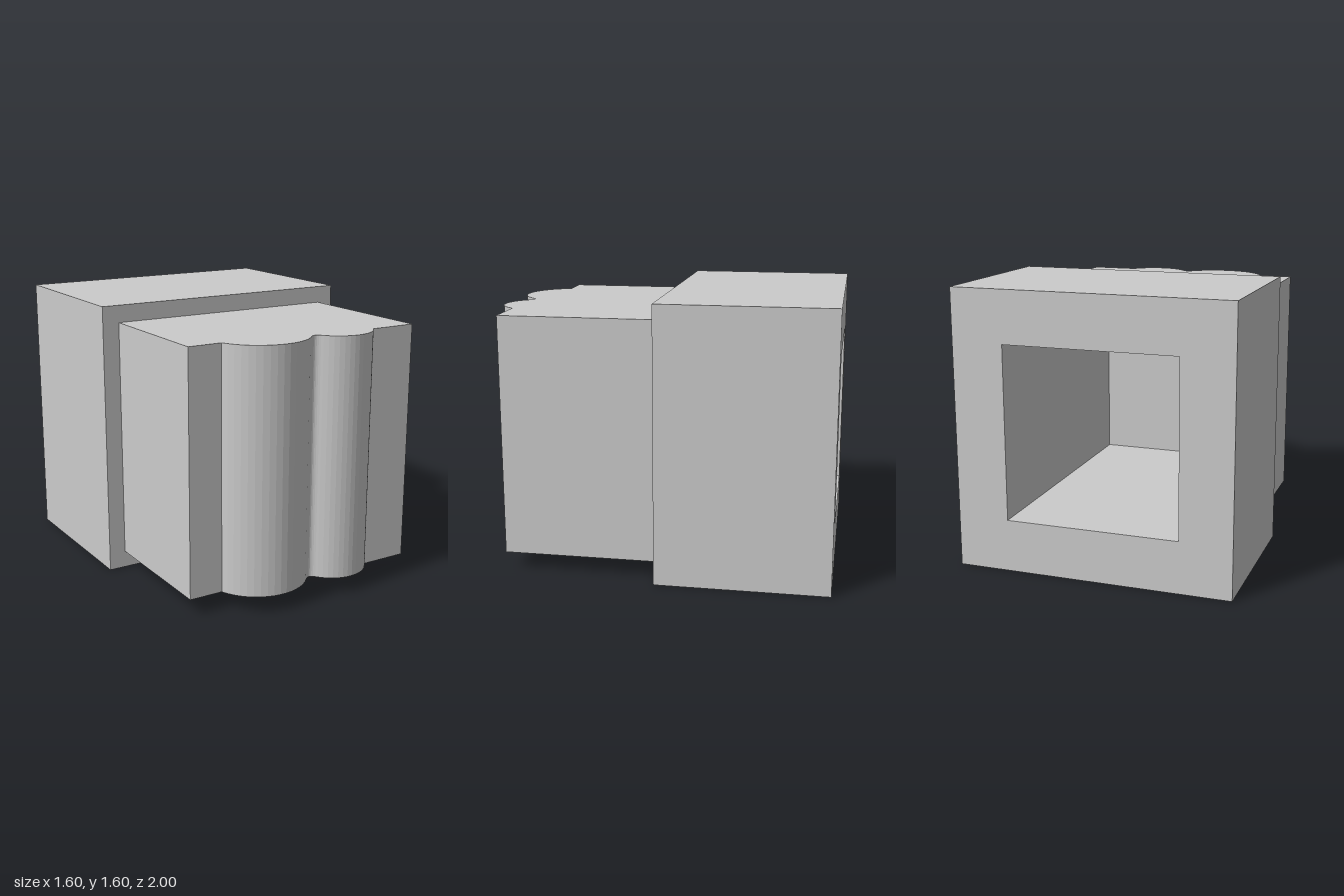
import * as THREE from 'three';

const material = new THREE.MeshStandardMaterial({ color: 0xcccccc });
const CENTRE_Y = 0.8;
const BORE = 1.0;
const BORE_END = 0.6; // z of the closed end of the bore

function addSquare(path, size) {
  const h = size / 2;
  path.moveTo(-h, -h);
  path.lineTo(h, -h);
  path.lineTo(h, h);
  path.lineTo(-h, h);
  path.closePath();
  return path;
}

// Square tube running along z, with the square bore through it
function squareTube(name, size, z0, z1) {
  const shape = addSquare(new THREE.Shape(), size);
  shape.holes.push(addSquare(new THREE.Path(), BORE));
  const geometry = new THREE.ExtrudeGeometry(shape, { depth: z1 - z0, bevelEnabled: false });
  geometry.translate(0, CENTRE_Y, z0);
  const mesh = new THREE.Mesh(geometry, material);
  mesh.name = name;
  return mesh;
}

// Points on the front (+z) side of a circle, from x0 to x1
function bulge(cx, cz, r, x0, x1, steps) {
  const a0 = Math.acos((x0 - cx) / r);
  const a1 = Math.acos((x1 - cx) / r);
  return Array.from({ length: steps + 1 }, (_, i) => {
    const a = a0 + ((a1 - a0) * i) / steps;
    return new THREE.Vector2(cx + r * Math.cos(a), cz + r * Math.sin(a));
  });
}

// Front block: plan outline with two rounded ribs joined by a small cove
function mouldedFront() {
  const large = bulge(-0.22, 0.704, 0.296, -0.5, 0, 16);
  const small = bulge(0.24, 0.788, 0.212, 0.07, 0.42, 14);
  const cove = new THREE.QuadraticBezierCurve(
    large[large.length - 1], new THREE.Vector2(0.035, 0.862), small[0]
  ).getPoints(8).slice(1, -1);
  const outline = [
    new THREE.Vector2(0.7, BORE_END),
    new THREE.Vector2(-0.7, BORE_END),
    new THREE.Vector2(-0.7, 0.8),
    new THREE.Vector2(-0.5, 0.8),
    ...large, ...cove, ...small,
    new THREE.Vector2(0.42, 0.9),
    new THREE.Vector2(0.7, 0.9),
  ];
  const points = outline.filter((p, i) => i === 0 || p.distanceTo(outline[i - 1]) > 0.003);
  const geometry = new THREE.ExtrudeGeometry(new THREE.Shape(points), { depth: 1.4, bevelEnabled: false });
  geometry.rotateX(Math.PI / 2); // outline y becomes z, depth runs down
  geometry.translate(0, 1.5, 0);
  const mesh = new THREE.Mesh(geometry, material);
  mesh.name = 'mouldedFront';
  return mesh;
}

export function createModel() {
  const group = new THREE.Group();
  group.name = 'socketBlock';
  group.add(
    squareTube('rearSleeve', 1.6, -1, 0),
    squareTube('frontBody', 1.4, 0, BORE_END),
    mouldedFront()
  );
  return group;
}
